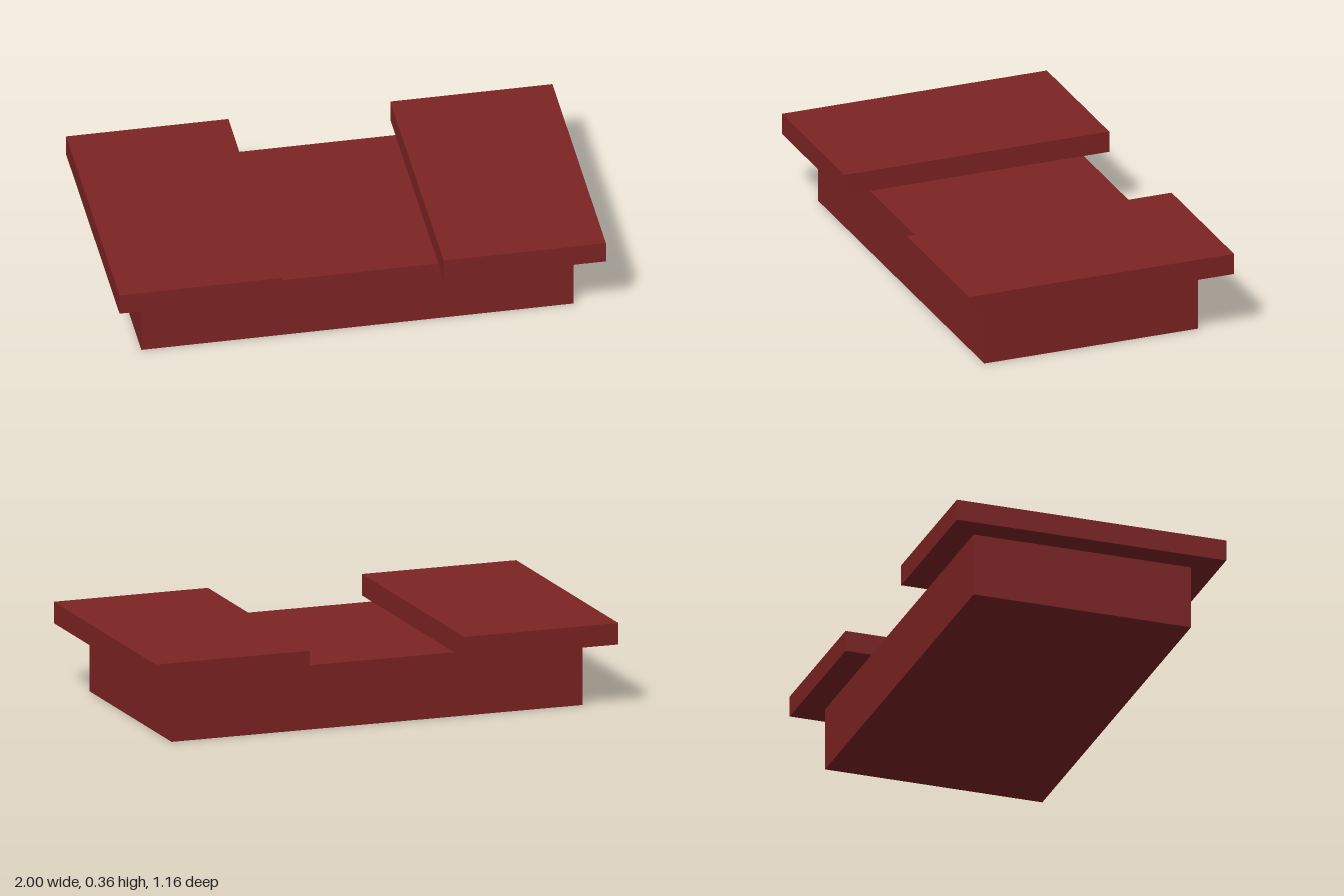
import * as THREE from 'three';

export function createModel() {
  const model = new THREE.Group();
  model.name = 'splitTopBlock';
  const darkRed = new THREE.MeshStandardMaterial({ color: 0x7d2323 });
  darkRed.name = 'darkRed';

  // Box standing on the height y
  function addBox(name, w, h, d, x, y) {
    const mesh = new THREE.Mesh(new THREE.BoxGeometry(w, h, d), darkRed);
    mesh.name = name;
    mesh.position.set(x, y + h / 2, 0);
    model.add(mesh);
  }

  const baseHeight = 0.267;
  addBox('base', 1.778, baseHeight, 0.933, 0, 0);

  // Two overhanging slabs with a gap between them
  for (const [name, side] of [['leftSlab', 1], ['rightSlab', -1]]) {
    addBox(name, 0.667, 0.089, 1.156, side * 0.6665, baseHeight);
  }
  return model;
}
